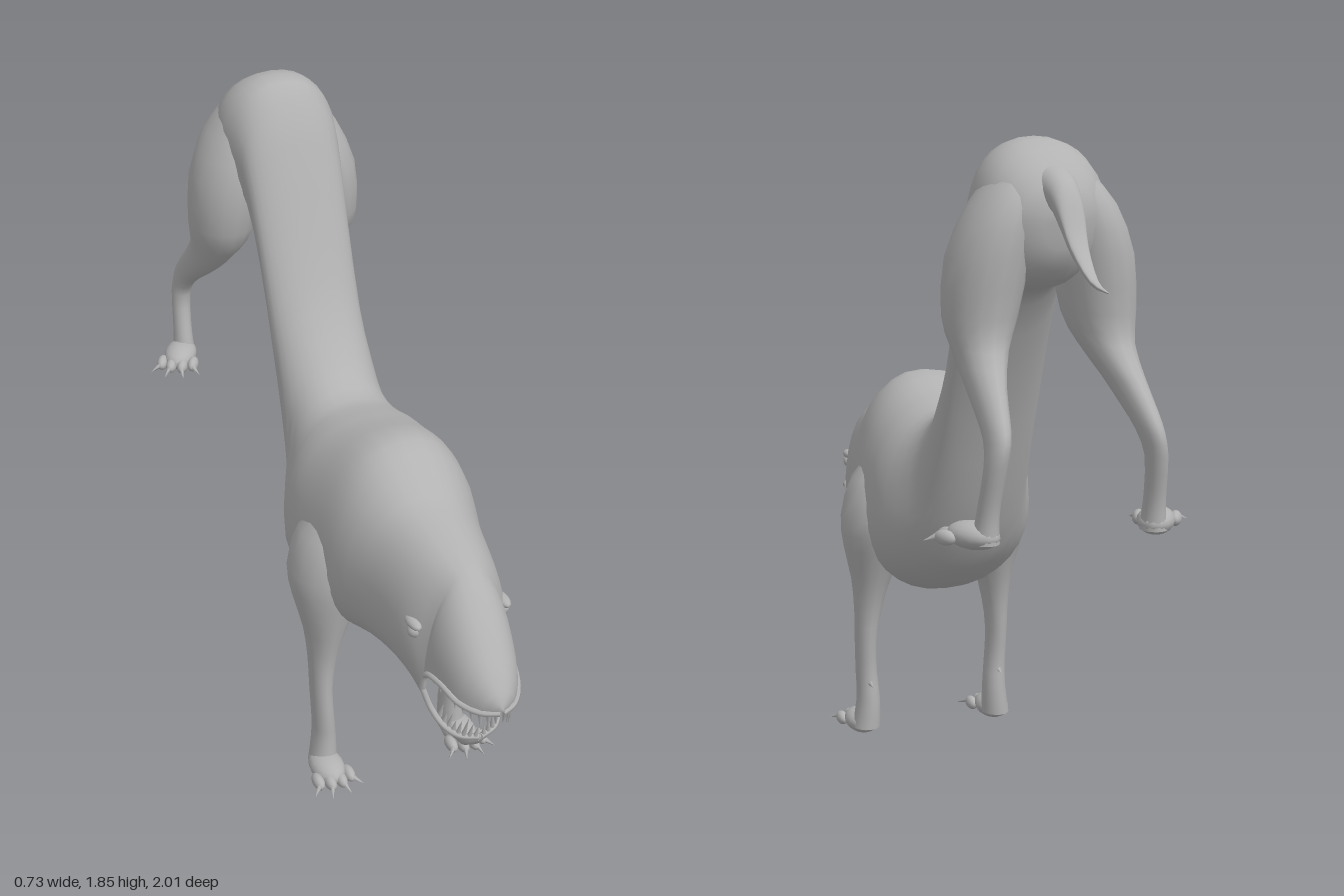
import * as THREE from 'three';
import { mergeVertices, mergeGeometries } from 'three/addons/utils/BufferGeometryUtils.js';

const hide = new THREE.MeshStandardMaterial({ color: 0xb2b2b2 });
hide.name = 'grey hide';

function mesh(name, geometry, parent) {
  const m = new THREE.Mesh(geometry, hide);
  m.name = name;
  parent.add(m);
  return m;
}

// Skin joining a list of rings of points
function loft(rings) {
  const n = rings[0].length, index = [];
  for (let i = 0; i < rings.length - 1; i++) {
    for (let j = 0; j < n - 1; j++) {
      const a = i * n + j, c = a + n;
      index.push(a, c, a + 1, a + 1, c, c + 1);
    }
  }
  const g = new THREE.BufferGeometry().setFromPoints(rings.flat());
  g.setIndex(index);
  return g;
}

function smooth(parts) {
  const g = mergeVertices(mergeGeometries(parts), 1e-4);
  g.computeVertexNormals();
  return g;
}

// Smooth in-between sections along the path
function refine(sections, steps) {
  const out = [], last = sections.length - 1;
  for (let i = 0; i < last; i++) {
    const p = [sections[Math.max(i - 1, 0)], sections[i], sections[i + 1], sections[Math.min(i + 2, last)]];
    for (let s = 0; s < steps; s++) {
      const t = s / steps;
      out.push(p[1].map((b, k) => {
        const a = p[0][k], c = p[2][k], d = p[3][k];
        return b + 0.5 * t * (c - a + t * (2 * a - 5 * b + 4 * c - d + t * (3 * (b - c) + d - a)));
      }));
    }
  }
  out.push(sections[last]);
  return out;
}

// Upright section: top z,y; widest line z,y; bottom z,y; half width
function bodyRing([tz, ty, mz, my, bz, by, w], from = 0, to = 2) {
  const pts = [], n = 16 * (to - from);
  for (let j = 0; j <= n; j++) {
    const t = (from + (to - from) * j / n) * Math.PI;
    const c = Math.cos(t), s = Math.sin(t), k = Math.abs(s) ** 0.92;
    const x = w * Math.sign(c) * Math.abs(c) ** 0.88;
    pts.push(s >= 0
      ? new THREE.Vector3(x, my + (ty - my) * k, mz + (tz - mz) * k)
      : new THREE.Vector3(x, my + (by - my) * k, mz + (bz - mz) * k));
  }
  return pts;
}

// Level leg section: y, x, z, half width, half depth
function legRing([y, x, z, rx, rz]) {
  return Array.from({ length: 17 }, (_, j) => {
    const t = j / 8 * Math.PI;
    return new THREE.Vector3(x + rx * Math.cos(t), y, z - rz * Math.sin(t));
  });
}

function spike(name, parent, base, direction, length, radius) {
  const c = mesh(name, new THREE.ConeGeometry(radius, length, 6), parent);
  const d = direction.clone().normalize();
  c.quaternion.setFromUnitVectors(new THREE.Vector3(0, 1, 0), d);
  c.position.copy(base).addScaledVector(d, length / 2);
}

function makeFoot(name) {
  const foot = new THREE.Group();
  foot.name = name;
  const ball = new THREE.SphereGeometry(1, 16, 10);
  const pad = mesh('paw', ball, foot);
  pad.scale.set(0.05, 0.036, 0.08);
  pad.position.set(0, 0.038, 0.04);
  for (const x of [-0.048, -0.017, 0.017, 0.048]) {
    const z = 0.115 - Math.abs(x) * 0.5;
    const toe = mesh('toe', ball, foot);
    toe.scale.set(0.017, 0.02, 0.034);
    toe.position.set(x, 0.032, z);
    spike('claw', foot, new THREE.Vector3(x * 1.05, 0.035, z + 0.022), new THREE.Vector3(x, -0.025, 0.05), 0.04, 0.009);
  }
  return foot;
}

export function createModel() {
  const model = new THREE.Group();
  model.name = 'beast';

  // Head, barrel chest, rising loin and rump
  const body = [
    [0.79, 0.955, 0.775, 0.61, 0.70, 0.53, 0.12],
    [0.72, 0.975, 0.72, 0.70, 0.64, 0.545, 0.145],
    [0.62, 1.00, 0.62, 0.74, 0.56, 0.545, 0.165],
    [0.52, 1.03, 0.50, 0.74, 0.47, 0.54, 0.19],
    [0.42, 1.10, 0.40, 0.74, 0.37, 0.51, 0.22],
    [0.33, 1.125, 0.30, 0.72, 0.27, 0.49, 0.235],
    [0.20, 1.09, 0.20, 0.73, 0.17, 0.48, 0.245],
    [0.10, 1.07, 0.10, 0.75, 0.08, 0.52, 0.24],
    [0.02, 1.06, 0.01, 0.78, 0.00, 0.57, 0.205],
    [-0.06, 1.10, -0.07, 0.85, -0.08, 0.64, 0.165],
    [-0.14, 1.19, -0.15, 1.00, -0.17, 0.82, 0.148],
    [-0.22, 1.32, -0.235, 1.17, -0.25, 1.03, 0.14],
    [-0.32, 1.56, -0.32, 1.40, -0.33, 1.21, 0.14],
    [-0.42, 1.80, -0.42, 1.62, -0.43, 1.40, 0.15],
    [-0.52, 1.85, -0.52, 1.65, -0.50, 1.45, 0.17],
    [-0.62, 1.82, -0.62, 1.66, -0.60, 1.47, 0.16],
    [-0.70, 1.74, -0.70, 1.65, -0.69, 1.52, 0.10],
    [-0.72, 1.67, -0.72, 1.65, -0.715, 1.62, 0.005],
  ];
  // Muzzle: top z,y; lip z,y; half width
  const muzzle = [
    [1.0, 0.665, 0.995, 0.65, 0.004],
    [0.985, 0.71, 0.97, 0.648, 0.048],
    [0.93, 0.79, 0.92, 0.655, 0.085],
    [0.86, 0.88, 0.85, 0.675, 0.106],
    [0.81, 0.935, 0.79, 0.665, 0.117],
    [0.79, 0.955, 0.775, 0.61, 0.12],
  ];
  // Lower jaw: lip z,y; underside z,y; half width
  const jaw = [
    [0.882, 0.488, 0.878, 0.47, 0.004],
    [0.865, 0.495, 0.845, 0.435, 0.052],
    [0.83, 0.51, 0.79, 0.475, 0.08],
    [0.795, 0.55, 0.74, 0.51, 0.102],
    [0.775, 0.61, 0.70, 0.53, 0.12],
  ];
  mesh('body', smooth([
    loft(refine(body, 2).map(s => bodyRing(s))),
    loft(refine(muzzle, 2).map(([tz, ty, mz, my, w]) => bodyRing([tz, ty, mz, my, mz, my, w], 0, 1))),
    loft(refine(jaw, 2).map(([mz, my, bz, by, w]) => bodyRing([mz, my, mz, my, bz, by, w], 1, 2))),
  ]), model);

  // Tail
  const tail = [[-0.58, 1.80, 1.68, 0.07], [-0.70, 1.77, 1.67, 0.045], [-0.765, 1.715, 1.615, 0.035],
    [-0.82, 1.61, 1.56, 0.024], [-0.91, 1.525, 1.505, 0.011], [-1.0, 1.498, 1.495, 0.001]];
  mesh('tail', smooth([loft(refine(tail, 3).map(([z, t, b, w]) =>
    bodyRing([z, t, z - 0.01, (t + b) / 2, z, b, w])))]), model);

  // One side: legs, feet, lips, teeth, eye
  const side = new THREE.Group();
  side.name = 'leftSide';
  const frontLeg = [
    [0.90, 0.12, 0.27, 0.06, 0.07], [0.82, 0.15, 0.265, 0.105, 0.12], [0.70, 0.178, 0.265, 0.112, 0.13],
    [0.60, 0.188, 0.275, 0.092, 0.105], [0.50, 0.198, 0.285, 0.058, 0.075], [0.40, 0.207, 0.29, 0.04, 0.052],
    [0.30, 0.213, 0.295, 0.032, 0.046], [0.20, 0.21, 0.30, 0.032, 0.043], [0.12, 0.206, 0.295, 0.035, 0.045],
    [0.03, 0.212, 0.30, 0.042, 0.05],
  ];
  const hindLeg = [
    [1.76, 0.08, -0.57, 0.05, 0.08], [1.68, 0.11, -0.58, 0.085, 0.12], [1.55, 0.145, -0.57, 0.105, 0.137],
    [1.40, 0.165, -0.57, 0.095, 0.12], [1.32, 0.175, -0.60, 0.07, 0.105], [1.24, 0.19, -0.677, 0.047, 0.098],
    [1.17, 0.20, -0.76, 0.036, 0.08], [1.12, 0.207, -0.81, 0.031, 0.06], [1.06, 0.217, -0.828, 0.029, 0.037],
    [0.97, 0.225, -0.808, 0.028, 0.033], [0.91, 0.228, -0.795, 0.03, 0.037], [0.86, 0.23, -0.79, 0.036, 0.042],
  ];
  mesh('frontLeg', smooth([loft(refine(frontLeg, 2).map(legRing))]), side);
  mesh('hindLeg', smooth([loft(refine(hindLeg, 2).map(legRing))]), side);
  spike('dewclaw', side, new THREE.Vector3(0.21, 0.18, 0.27), new THREE.Vector3(0, -0.3, -1), 0.035, 0.012);

  const frontFoot = makeFoot('frontFoot');
  frontFoot.position.set(0.215, 0, 0.30);
  const hindFoot = makeFoot('hindFoot');
  hindFoot.position.set(0.232, 0.838, -0.795);
  hindFoot.rotation.y = 0.5;
  side.add(frontFoot, hindFoot);

  const upperLip = new THREE.CatmullRomCurve3(muzzle.map(([, , z, y, w]) => new THREE.Vector3(w, y, z)));
  const lowerLip = new THREE.CatmullRomCurve3(jaw.map(([z, y, , , w]) => new THREE.Vector3(w, y, z)));
  mesh('upperLip', new THREE.TubeGeometry(upperLip, 24, 0.009, 6), side);
  mesh('lowerLip', new THREE.TubeGeometry(lowerLip, 24, 0.009, 6), side);
  for (let i = 0; i < 9; i++) {
    const u = 0.05 + i * 0.085, fang = i === 2 ? 0.03 : 0;
    const inset = new THREE.Vector3(0.9, 1, 1);
    spike('upperTooth', side, upperLip.getPoint(u).multiply(inset),
      new THREE.Vector3(-0.1, -1, -0.1), 0.042 + fang + (i % 2) * 0.012, 0.008);
    if (i < 8) spike('lowerTooth', side, lowerLip.getPoint(u).multiply(inset),
      new THREE.Vector3(-0.1, 1, 0.25), 0.042 + fang + (i % 2) * 0.012, 0.008);
  }

  // Eye under a small brow
  const eye = mesh('eye', new THREE.SphereGeometry(0.02, 12, 8), side);
  eye.position.set(0.128, 0.775, 0.735);
  const brow = mesh('brow', new THREE.SphereGeometry(1, 12, 8), side);
  brow.scale.set(0.018, 0.014, 0.04);
  brow.position.set(0.13, 0.798, 0.73);

  const mirrored = side.clone();
  mirrored.name = 'rightSide';
  mirrored.scale.x = -1;
  model.add(side, mirrored);
  return model;
}
